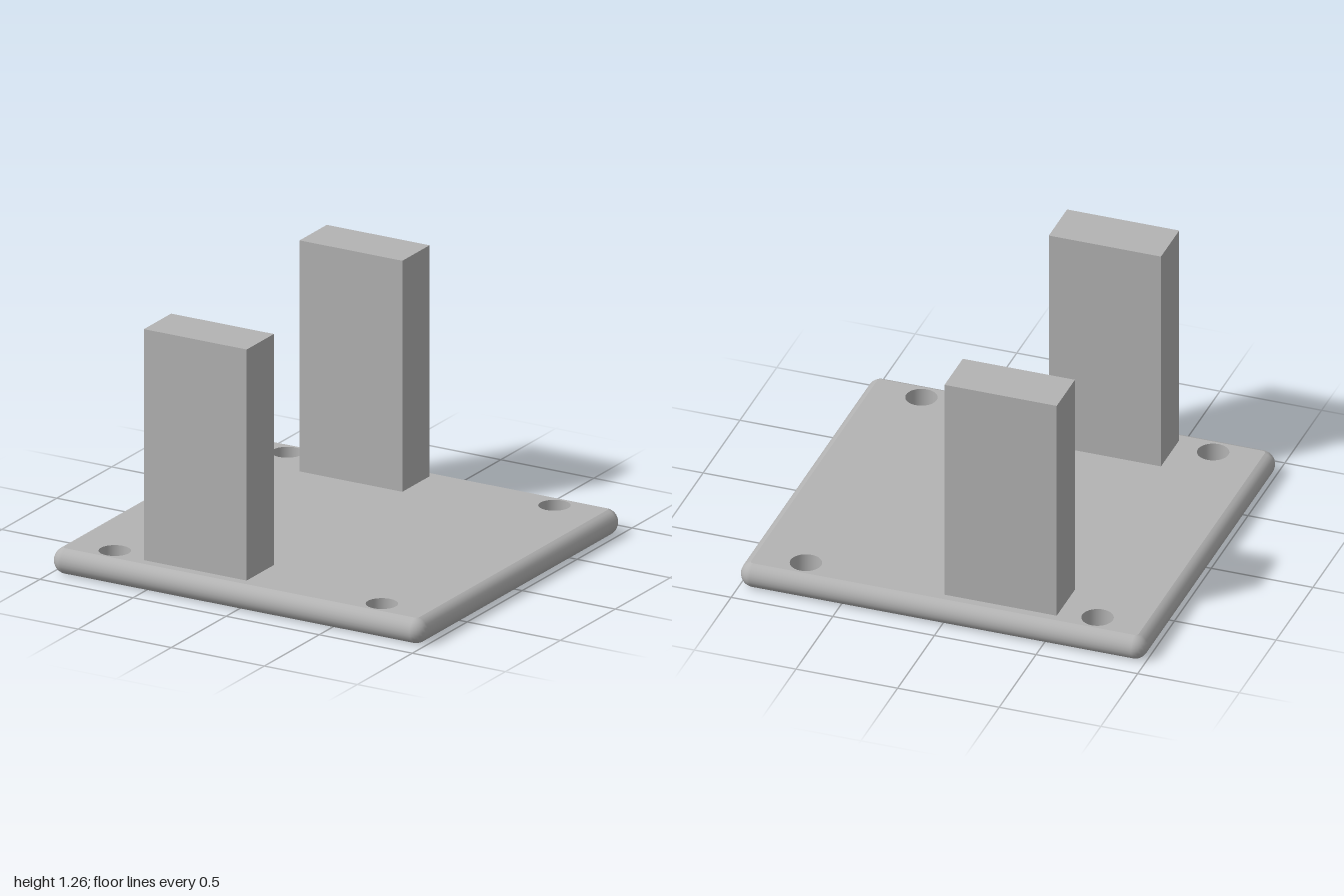
import * as THREE from 'three';

const HALF_X = 1, HALF_Z = 0.92, THICK = 0.125, R = THICK / 2;
const CAP_ANGLE = THREE.MathUtils.degToRad(75);
const HOLE_R = 0.075;
const HOLES = [-0.725, 0.71].flatMap((x) => [-0.785, 0.785].map((z) => [x, z]));

// Rounded rectangle, counter-clockwise, for a given corner radius
function outline(r) {
  const points = [];
  const steps = 6;
  for (let corner = 0; corner < 4; corner++) {
    const sx = corner === 0 || corner === 3 ? 1 : -1;
    const sy = corner < 2 ? 1 : -1;
    for (let i = 0; i <= steps; i++) {
      const a = (corner + i / steps) * Math.PI / 2;
      points.push(new THREE.Vector2(
        sx * (HALF_X - R) + r * Math.cos(a),
        sy * (HALF_Z - R) + r * Math.sin(a)));
    }
  }
  return points;
}

// Half-round edge swept around the plate
function rimGeometry() {
  const rows = 10, positions = [], index = [];
  let n = 0;
  for (let j = 0; j <= rows; j++) {
    const phi = THREE.MathUtils.lerp(-CAP_ANGLE, CAP_ANGLE, j / rows);
    const y = R + R * Math.sin(phi) / Math.sin(CAP_ANGLE);
    const ring = outline(R * Math.cos(phi));
    n = ring.length;
    ring.forEach((p) => positions.push(p.x, y, -p.y));
  }
  for (let j = 0; j < rows; j++) {
    for (let i = 0; i < n; i++) {
      const a = j * n + i, b = j * n + (i + 1) % n;
      index.push(a, b, a + n, b, b + n, a + n);
    }
  }
  const geometry = new THREE.BufferGeometry();
  geometry.setAttribute('position', new THREE.Float32BufferAttribute(positions, 3));
  geometry.setIndex(index);
  geometry.computeVertexNormals();
  return geometry;
}

// Flat face with the four bolt holes; up = 1 for the top, -1 for the underside
function faceGeometry(up) {
  const shape = new THREE.Shape(outline(R * Math.cos(CAP_ANGLE)));
  for (const [x, z] of HOLES) {
    const hole = new THREE.Path();
    hole.absarc(x, -up * z, HOLE_R, 0, Math.PI * 2, true);
    shape.holes.push(hole);
  }
  return new THREE.ShapeGeometry(shape, 24).rotateX(-up * Math.PI / 2);
}

export function createModel() {
  const model = new THREE.Group();
  model.name = 'mountingPlateWithPosts';
  const grey = new THREE.MeshStandardMaterial({ color: 0xb3b3b3, side: THREE.DoubleSide });
  grey.name = 'grey';

  const add = (parent, name, geometry, x = 0, y = 0, z = 0) => {
    const mesh = new THREE.Mesh(geometry, grey);
    mesh.name = name;
    mesh.position.set(x, y, z);
    parent.add(mesh);
  };

  // Base plate
  const plate = new THREE.Group();
  plate.name = 'basePlate';
  model.add(plate);
  add(plate, 'plateRim', rimGeometry());
  add(plate, 'plateTop', faceGeometry(1), 0, THICK, 0);
  add(plate, 'plateUnderside', faceGeometry(-1));
  for (const [x, z] of HOLES) {
    add(plate, 'boltHoleWall',
      new THREE.CylinderGeometry(HOLE_R, HOLE_R, THICK, 48, 1, true), x, R, z);
  }

  // Upright posts, front and back
  const height = 1.26 - THICK;
  for (const side of [1, -1]) {
    add(model, side > 0 ? 'frontPost' : 'backPost',
      new THREE.BoxGeometry(0.552, height, 0.248),
      -0.266, THICK + height / 2, side > 0 ? 0.706 : -0.711);
  }
  return model;
}
